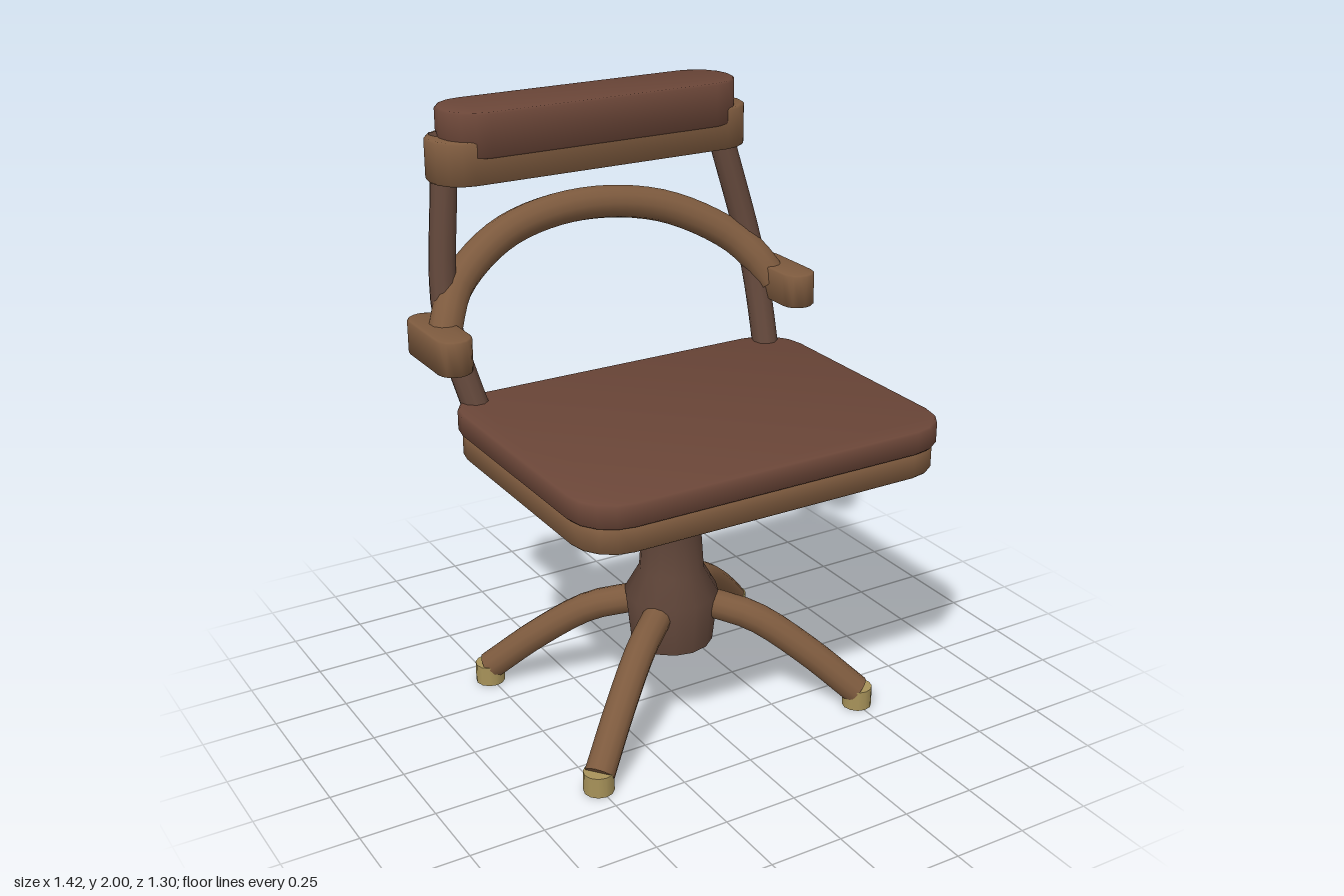
import * as THREE from 'three';
import { mergeGeometries, toCreasedNormals } from 'three/addons/utils/BufferGeometryUtils.js';

const material = (color) => new THREE.MeshStandardMaterial({ color });
const V = (x, y, z) => new THREE.Vector3(x, y, z);

// Flat slab with rounded plan corners, spanning the given box
function slab(x0, x1, y0, y1, z0, z1, radius, bevel = 0.006) {
  const b = bevel, r = radius - b;
  const hx = (x1 - x0) / 2 - b, hz = (z1 - z0) / 2 - b;
  const s = new THREE.Shape();
  s.absarc(hx - r, hz - r, r, 0, Math.PI / 2);
  s.absarc(r - hx, hz - r, r, Math.PI / 2, Math.PI);
  s.absarc(r - hx, r - hz, r, Math.PI, Math.PI * 1.5);
  s.absarc(hx - r, r - hz, r, Math.PI * 1.5, Math.PI * 2);
  s.closePath();
  const g = new THREE.ExtrudeGeometry(s, {
    depth: y1 - y0 - 2 * b, curveSegments: 2,
    bevelEnabled: true, bevelSize: b, bevelThickness: b, bevelSegments: 1,
  });
  g.rotateX(-Math.PI / 2);
  g.translate((x0 + x1) / 2, y0 + b, (z0 + z1) / 2);
  return toCreasedNormals(g, 0.9);
}

// Round rod along a smooth path, closed at both ends
function rod(points, radius, segments = 12, sides = 12) {
  const curve = new THREE.CatmullRomCurve3(points);
  const parts = [new THREE.TubeGeometry(curve, segments, radius, sides)];
  for (const t of [0, 1]) {
    const dir = curve.getTangent(t).multiplyScalar(t ? 1 : -1);
    const cap = new THREE.CircleGeometry(radius, sides);
    cap.applyQuaternion(new THREE.Quaternion().setFromUnitVectors(V(0, 0, 1), dir));
    const p = curve.getPoint(t);
    cap.translate(p.x, p.y, p.z);
    parts.push(cap);
  }
  return mergeGeometries(parts);
}

export function createModel() {
  const model = new THREE.Group();
  model.name = 'swivelChair';
  const leather = material(0x6b4638);
  const wood = material(0x7d5a3e);
  const darkWood = material(0x5e4438);
  const brass = material(0xa8935a);
  const add = (name, geometry, mat) => {
    const mesh = new THREE.Mesh(geometry, mat);
    mesh.name = name;
    model.add(mesh);
  };

  // Seat
  add('seatCushion', slab(-0.65, 0.65, 1.025, 1.1, -0.35, 0.65, 0.15), leather);
  add('seatFrame', slab(-0.638, 0.638, 0.94, 1.027, -0.338, 0.638, 0.14), wood);

  // Pedestal
  const profile = [[0, 0.22], [0.14, 0.22], [0.16, 0.4], [0.11, 0.49], [0.09, 0.78], [0.16, 0.95]];
  const pedestal = new THREE.LatheGeometry(profile.map(([r, y]) => new THREE.Vector2(r, y)), 14);
  add('pedestal', toCreasedNormals(pedestal, 0.9), darkWood);

  // Splayed legs with brass feet
  for (const sx of [1, -1]) {
    for (const sz of [1, -1]) {
      const path = [[0.1, 0.36, 0.08], [0.22, 0.315, 0.175], [0.36, 0.2, 0.285], [0.5, 0.055, 0.395]];
      add('leg', rod(path.map(([x, y, z]) => V(x * sx, y, z * sz)), 0.05, 10), wood);
      const foot = new THREE.CylinderGeometry(0.05, 0.05, 0.07, 12);
      foot.translate(0.503 * sx, 0.035, 0.395 * sz);
      add('foot', foot, brass);
    }
  }

  // Back posts and arm pads
  for (const s of [1, -1]) {
    const post = [[0.55, 1.04, -0.27], [0.565, 1.12, -0.312], [0.588, 1.37, -0.432], [0.525, 1.77, -0.54], [0.505, 1.91, -0.58]];
    add('backPost', rod(post.map(([x, y, z]) => V(x * s, y, z)), 0.045, 14, 10), darkWood);
    const cx = 0.65 * s;
    add('armPad', slab(cx - 0.06, cx + 0.06, 1.235, 1.35, -0.508, -0.18, 0.06, 0.004), wood);
  }

  // Arched rail joining the arms
  const half = [[0.63, 1.29, -0.36], [0.595, 1.36, -0.4], [0.52, 1.445, -0.47], [0.3, 1.558, -0.56]];
  const arch = [
    ...half.map(([x, y, z]) => V(-x, y, z)),
    V(0, 1.6, -0.592),
    ...half.reverse().map(([x, y, z]) => V(x, y, z)),
  ];
  add('armRail', rod(arch, 0.056, 32), wood);

  // Backrest
  add('backrestFrame', slab(-0.583, 0.583, 1.768, 1.908, -0.64, -0.405, 0.116), wood);
  add('backrestCushion', slab(-0.54, 0.54, 1.853, 2, -0.652, -0.395, 0.125), leather);

  return model;
}
